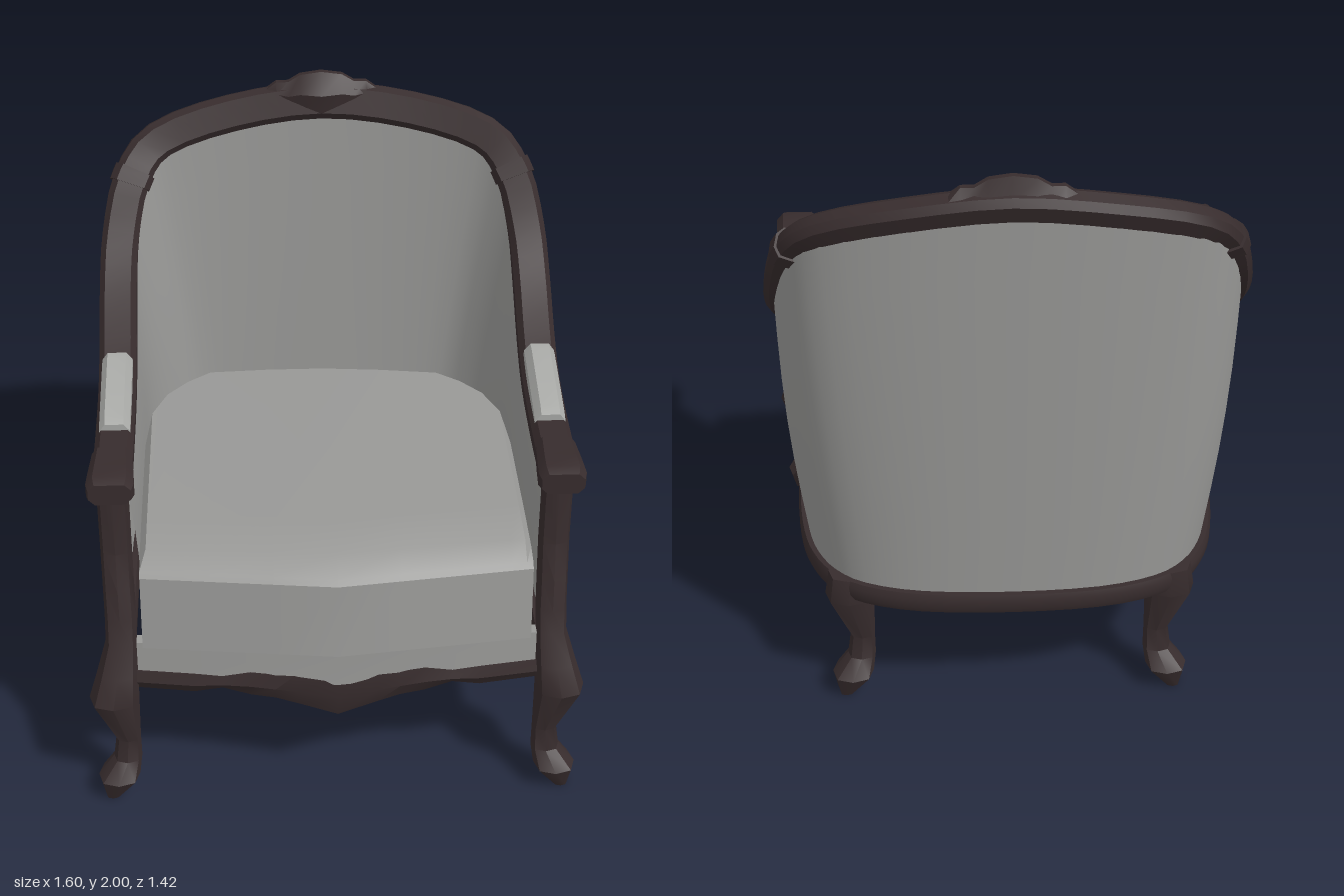
import * as THREE from 'three';
import { toCreasedNormals } from 'three/addons/utils/BufferGeometryUtils.js';

const V = (x, y, z) => new THREE.Vector3(x, y, z);

// Skin over a row of cross-sections; closed sections get end caps and face outward
function loft(rings, closed = true, crease = 0.6) {
  const n = rings[0].length, pos = [], idx = [];
  rings.forEach(r => r.forEach(p => pos.push(p.x, p.y, p.z)));
  for (let i = 0; i < rings.length - 1; i++) {
    for (let j = 0; j < (closed ? n : n - 1); j++) {
      const k = (j + 1) % n, a = i * n + j, b = i * n + k;
      idx.push(a, b, b + n, a, b + n, a + n);
    }
  }
  if (closed) {
    [0, rings.length - 1].forEach((r, end) => {
      const c = rings[r].reduce((s, p) => s.add(p), V(0, 0, 0)).divideScalar(n);
      const ci = pos.length / 3;
      pos.push(c.x, c.y, c.z);
      for (let j = 0; j < n; j++) {
        const a = r * n + j, b = r * n + (j + 1) % n;
        if (end) idx.push(ci, a, b); else idx.push(ci, b, a);
      }
    });
    let volume = 0;
    const at = i => V(pos[3 * i], pos[3 * i + 1], pos[3 * i + 2]);
    for (let i = 0; i < idx.length; i += 3) volume += at(idx[i]).dot(at(idx[i + 1]).cross(at(idx[i + 2])));
    if (volume < 0) idx.reverse();
  }
  const g = new THREE.BufferGeometry();
  g.setAttribute('position', new THREE.Float32BufferAttribute(pos, 3));
  g.setIndex(idx);
  return toCreasedNormals(g, crease);
}

// Curve through a half outline (left side) and its mirror image
function mirrored(half) {
  const pts = half.map(p => V(...p));
  const other = half.slice(0, -1).reverse().map(p => V(-p[0], p[1], p[2]));
  return new THREE.CatmullRomCurve3([...pts, ...other], false, 'catmullrom', 0.5);
}

// Bevelled rectangular section
const SECTION = [[1, 0.45], [0.7, 1], [-0.7, 1], [-1, 0.45], [-1, -0.45], [-0.7, -1], [0.7, -1], [1, -0.45]];

function sweep(curve, across, halfW, halfT, t0 = 0, t1 = 1, steps = 54) {
  const rings = [];
  for (let i = 0; i <= steps; i++) {
    const t = t0 + (t1 - t0) * i / steps;
    const c = curve.getPoint(t), T = curve.getTangent(t), W = across(t);
    W.addScaledVector(T, -W.dot(T)).normalize();
    const N = T.clone().cross(W);
    rings.push(SECTION.map(([a, b]) => c.clone().addScaledVector(W, a * halfW).addScaledVector(N, b * halfT)));
  }
  return loft(rings);
}

export function createModel() {
  const group = new THREE.Group();
  const wood = new THREE.MeshStandardMaterial({ color: 0x372c2d });
  const fabric = new THREE.MeshStandardMaterial({ color: 0x989896, side: THREE.DoubleSide });
  const pad = new THREE.MeshStandardMaterial({ color: 0xa8a9a6 });
  wood.name = 'dark wood';
  fabric.name = 'grey fabric';
  pad.name = 'light grey fabric';
  const add = (name, geo, mat) => {
    const m = new THREE.Mesh(geo, mat);
    m.name = name;
    group.add(m);
  };

  // Arm and back rail: one sweep running from arm tip to arm tip
  const rail = mirrored([[0.69, 1.172, 0.58], [0.69, 1.172, 0.3], [0.69, 1.2, 0.05], [0.69, 1.28, -0.12],
    [0.69, 1.4, -0.29], [0.68, 1.53, -0.41], [0.64, 1.685, -0.51], [0.545, 1.79, -0.59],
    [0.3, 1.86, -0.64], [0, 1.895, -0.655]]);
  const width = mirrored([[1, 0, 0], [1, 0, 0], [1, 0, 0], [1, 0, 0], [1, 0, 0], [1, 0.1, 0],
    [0.95, 0.4, -0.1], [0.6, 0.8, -0.25], [0.2, 1, -0.38], [0, 1, -0.38]]);
  const across = t => width.getPoint(t);
  add('armAndBackRail', sweep(rail, across, 0.061, 0.042), wood);
  for (const t of [0.335, 0.665]) add('railCollar', sweep(rail, across, 0.068, 0.05, t - 0.008, t + 0.008, 2), wood);

  // Seat rail around sides and back
  const base = mirrored([[0.68, 0.465, 0.57], [0.68, 0.465, 0.3], [0.68, 0.465, 0.05], [0.675, 0.465, -0.14],
    [0.657, 0.465, -0.3], [0.625, 0.465, -0.415], [0.565, 0.465, -0.515], [0.465, 0.465, -0.59],
    [0.28, 0.465, -0.64], [0, 0.465, -0.655]]);
  const outward = t => {
    const T = base.getTangent(t);
    return V(-T.z, 0, T.x).normalize();
  };
  add('seatRail', sweep(base, outward, 0.025, 0.035), wood);

  // Upholstered shell: outer and inner skins hanging between the two rails
  const innerFoot = mirrored([[0.625, 0.58, 0.54], [0.625, 0.58, 0.3], [0.625, 0.58, 0.05], [0.62, 0.58, -0.12],
    [0.6, 0.58, -0.28], [0.545, 0.58, -0.4], [0.475, 0.58, -0.475], [0.39, 0.58, -0.53],
    [0.2, 0.58, -0.55], [0, 0.58, -0.55]]);
  const skin = (side, foot) => {
    const rows = [];
    for (let i = 0; i <= 54; i++) {
      const t = i / 54, n = outward(t), top = rail.getPoint(t), low = foot(t), row = [];
      if (n.x * top.x < 0) n.negate();
      if (Math.abs(top.x) < 0.1) n.set(n.x, 0, -Math.abs(n.z));
      top.z = Math.min(top.z, 0.48);
      top.addScaledVector(n, side * 0.034);
      for (let j = 0; j <= 6; j++) {
        const s = j / 6, push = side * Math.sign(top.x) * Math.abs(n.x) * 0.018 * Math.sin(Math.PI * s);
        row.push(low.clone().lerp(top, s).add(V(push, 0, 0)));
      }
      rows.push(row);
    }
    return loft(rows, false, 0.9);
  };
  add('outerUpholstery', skin(1, t => base.getPoint(t).setY(0.495)), fabric);
  add('innerUpholstery', skin(-1, t => innerFoot.getPoint(t)), fabric);

  // Cushion: open shell, bowed in front and rounded at the back, with side walls
  const bow = x => 0.07 * (1 - Math.abs(x) / 0.62);
  const cushionHalf = [[0.62, -0.1], [0.6, -0.26], [0.55, -0.38], [0.48, -0.46], [0.4, -0.52], [0.2, -0.53]];
  const cushionRows = [...cushionHalf.map(([x, z]) => [-x, z]), [0, -0.53], ...cushionHalf.slice().reverse()];
  const cushion = cushionRows.map(([x, zb]) => {
    const f = 0.63 + bow(x), edge = Math.abs(x) > 0.61 ? 0.025 : 0;
    const back = zb + 0.035 * Math.min(1, Math.max(0, x / 0.4));
    return [V(x, 0.6, f), V(x, 0.85, f - 0.035), V(x, 0.865, f - 0.05), V(x, 0.905 - edge + bow(x) * 0.15, f - 0.12),
      V(x, 0.91 - edge + bow(x) * 0.15, f - 0.3), V(x, 0.91 - edge, back), V(x, 0.8, back)];
  });
  const hem = row => row.map(p => p.clone().setY(0.6));
  add('seatCushion', loft([hem(cushion[0]), ...cushion, hem(cushion.at(-1))], false, 0.62), fabric);
  add('seatFrontPanel', loft([-0.64, 0, 0.64].map(x => {
    const f = 0.615 + Math.max(0, bow(x));
    return [V(x, 0.48, f + 0.01), V(x, 0.61, f), V(x, 0.61, f - 0.04), V(x, 0.48, f - 0.03)];
  })), fabric);

  // Carved front apron with a scalloped lower edge
  const scallop = [[0.65, 0.43, 0.505], [0.46, 0.42, 0.5], [0.37, 0.44, 0.495], [0.28, 0.415, 0.515],
    [0.2, 0.405, 0.51], [0.13, 0.385, 0.515]];
  const apron = [...scallop.map(([x, b, t]) => [-x, b, t]), [0, 0.345, 0.515], ...scallop.slice().reverse()];
  add('frontApron', loft(apron.map(([x, b, t]) => {
    const f = 0.63 + bow(x) * 0.85;
    return [V(x, b, f - 0.01), V(x, (b + t) / 2, f + 0.012), V(x, t, f), V(x, t, f - 0.05), V(x, b, f - 0.05)];
  })), wood);

  // Legs: stacked sections [y, x, z, half width, half depth]
  const eight = (y, x, z, rx, rz) => Array.from({ length: 8 }, (_, i) => {
    const a = i * Math.PI / 4, r = i % 2 ? 1.08 : 1;
    return V(x + Math.cos(a) * rx * r, y, z + Math.sin(a) * rz * r);
  });
  const foot = [[0, 0.745, 0.655, 0.022, 0.022], [0.085, 0.72, 0.645, 0.068, 0.068], [0.14, 0.69, 0.615, 0.046, 0.046],
    [0.22, 0.685, 0.61, 0.04, 0.038], [0.41, 0.72, 0.635, 0.08, 0.076]];
  const post = [[0.5, 0.705, 0.615, 0.066, 0.062], [0.6, 0.69, 0.58, 0.05, 0.045], [0.68, 0.69, 0.55, 0.05, 0.05],
    [0.78, 0.692, 0.52, 0.05, 0.055], [0.9, 0.694, 0.49, 0.05, 0.048], [1.15, 0.694, 0.485, 0.05, 0.045]];
  for (const s of [-1, 1]) {
    add('frontLegAndPost', loft([...foot, ...post].map(([y, x, z, a, b]) => eight(y, s * x, z, a, b))), wood);
    const rear = [...foot, [0.5, 0.72, 0.635, 0.066, 0.064]];
    add('backLeg', loft(rear.map(([y, x, z, a, b]) => eight(y, s * (x - 0.197), -(z - 0.115), a, b))), wood);

    // Flared arm end
    const tip = [[0.4, 0.062, 0.042], [0.5, 0.07, 0.044], [0.57, 0.074, 0.048], [0.6, 0.066, 0.036]];
    add('armEnd', loft(tip.map(([z, w, h]) => SECTION.map(([a, b]) => V(s * 0.694 + a * w, 1.176 + b * h, z)))), wood);

    // Arm pad
    const padRows = [[0.3, 1.19, 1.235], [0.27, 1.19, 1.25], [0.14, 1.2, 1.278], [0.01, 1.21, 1.305], [-0.02, 1.23, 1.305]];
    add('armPad', loft(padRows.map(([z, b, t]) => [V(s * 0.64, b, z), V(s * 0.64, t - 0.025, z), V(s * 0.66, t, z),
      V(s * 0.72, t, z), V(s * 0.738, t - 0.025, z), V(s * 0.738, b, z)])), pad);
  }

  // Carved crest at the top centre
  const crestHalf = [[0.19, 1.915, 1.935], [0.15, 1.895, 1.965], [0.11, 1.885, 1.965], [0.07, 1.88, 1.99]];
  const crest = [...crestHalf.map(([x, b, t]) => [-x, b, t]), [0, 1.87, 2], ...crestHalf.slice().reverse()];
  add('crest', loft(crest.map(([x, b, t]) => {
    const k = 1 - Math.abs(x) / 0.19, m = (b + t) / 2;
    return [V(x, b, -0.635 + 0.035 * k), V(x, m, -0.635 + 0.045 * k), V(x, t, -0.645), V(x, t, -0.665), V(x, m, -0.69)];
  })), wood);

  return group;
}
